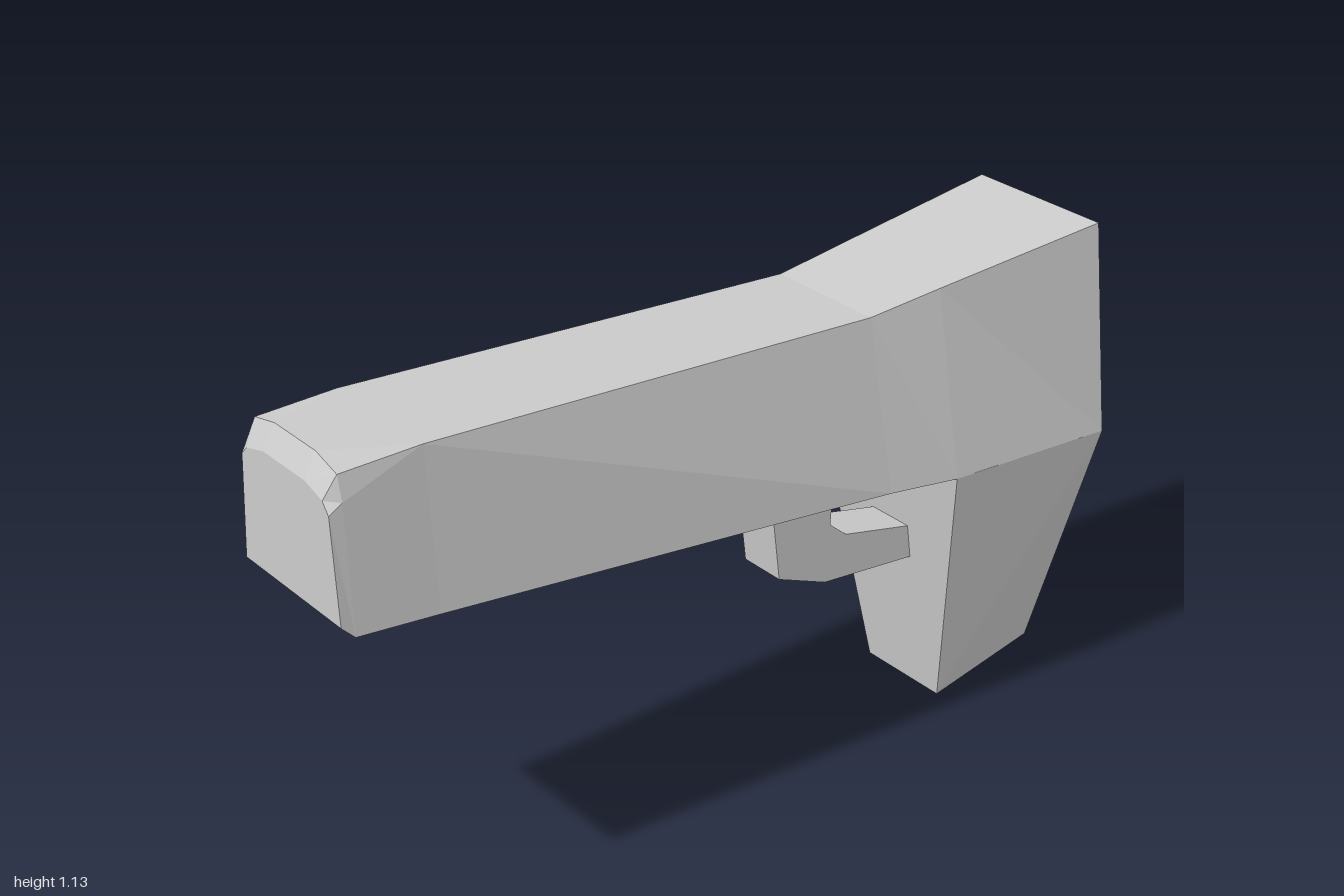
import * as THREE from 'three';

const material = new THREE.MeshStandardMaterial({ color: 0xcccccc, flatShading: true });

// Joins rings of [x, y, z] corners (counter-clockwise seen against the travel direction) and caps both ends
function loft(rings) {
  const pos = [];
  const v = (p) => new THREE.Vector3(...p);
  const tri = (a, b, c) => {
    if (new THREE.Triangle(v(a), v(b), v(c)).getArea() > 1e-7) pos.push(...a, ...b, ...c);
  };
  const n = rings[0].length;
  for (let i = 0; i < rings.length - 1; i++) {
    const lo = rings[i], hi = rings[i + 1];
    for (let j = 0; j < n; j++) {
      const k = (j + 1) % n;
      tri(lo[j], lo[k], hi[k]);
      tri(lo[j], hi[k], hi[j]);
    }
  }
  const first = rings[0], last = rings[rings.length - 1];
  for (let j = 1; j < n - 1; j++) {
    tri(first[0], first[j + 1], first[j]);
    tri(last[0], last[j], last[j + 1]);
  }
  const geo = new THREE.BufferGeometry();
  geo.setAttribute('position', new THREE.Float32BufferAttribute(pos, 3));
  geo.computeVertexNormals();
  return geo;
}

// Plain four-cornered body section, padded to eight corners so it meets the bevelled nose
function section(z, yBottom, bottomL, bottomR, yTop, topL, topR) {
  const l = [topL, yTop, z], r = [topR, yTop, z];
  return [[bottomL, yBottom, z], [bottomR, yBottom, z], r, r, r, l, l, l];
}

// Nose section with bevelled upper corners
function noseSection(z, points) {
  return points.map(([x, y]) => [x, y, z]);
}

export function createModel() {
  const model = new THREE.Group();
  const add = (name, geometry) => {
    const mesh = new THREE.Mesh(geometry, material);
    mesh.name = name;
    model.add(mesh);
    return mesh;
  };

  // Long tapering body, flared at the back
  add('body', loft([
    section(-1, 0.64, -0.25, 0.25, 1.135, -0.19, 0.19),
    section(-0.55, 0.655, -0.232, 0.245, 1.086, -0.162, 0.162),
    section(-0.36, 0.677, -0.226, 0.238, 1.065, -0.15, 0.152),
    section(0.78, 0.763, -0.172, 0.2, 1.121, -0.145, 0.167),
    noseSection(0.97, [[-0.166, 0.776], [0.194, 0.776], [0.178, 1.06], [0.165, 1.115],
      [0.092, 1.135], [-0.06, 1.135], [-0.138, 1.118], [-0.146, 1.07]]),
    noseSection(1, [[-0.165, 0.806], [0.193, 0.806], [0.176, 1.04], [0.156, 1.065],
      [0.095, 1.083], [-0.06, 1.083], [-0.125, 1.065], [-0.146, 1.045]]),
  ]));

  // Grip, narrowing towards its foot and its back
  add('grip', loft([
    [[-0.122, 0, -0.64], [0.12, 0, -0.64], [0.07, 0.022, -0.975], [-0.07, 0.022, -0.975]],
    [[-0.232, 0.656, -0.55], [0.245, 0.656, -0.55], [0.25, 0.64, -1], [-0.25, 0.64, -1]],
  ]));

  // Angular guard between the body and the grip, outlined in z and y
  const outline = [[-0.162, 0.71], [-0.195, 0.44], [-0.33, 0.386], [-0.61, 0.363],
    [-0.6, 0.445], [-0.39, 0.49], [-0.342, 0.53], [-0.352, 0.7]];
  const shape = new THREE.Shape(outline.map(([z, y]) => new THREE.Vector2(-z, y)));
  const guard = new THREE.ExtrudeGeometry(shape, { depth: 0.12, bevelEnabled: false });
  guard.translate(0, 0, -0.06).rotateY(Math.PI / 2);
  add('guard', guard);

  return model;
}
